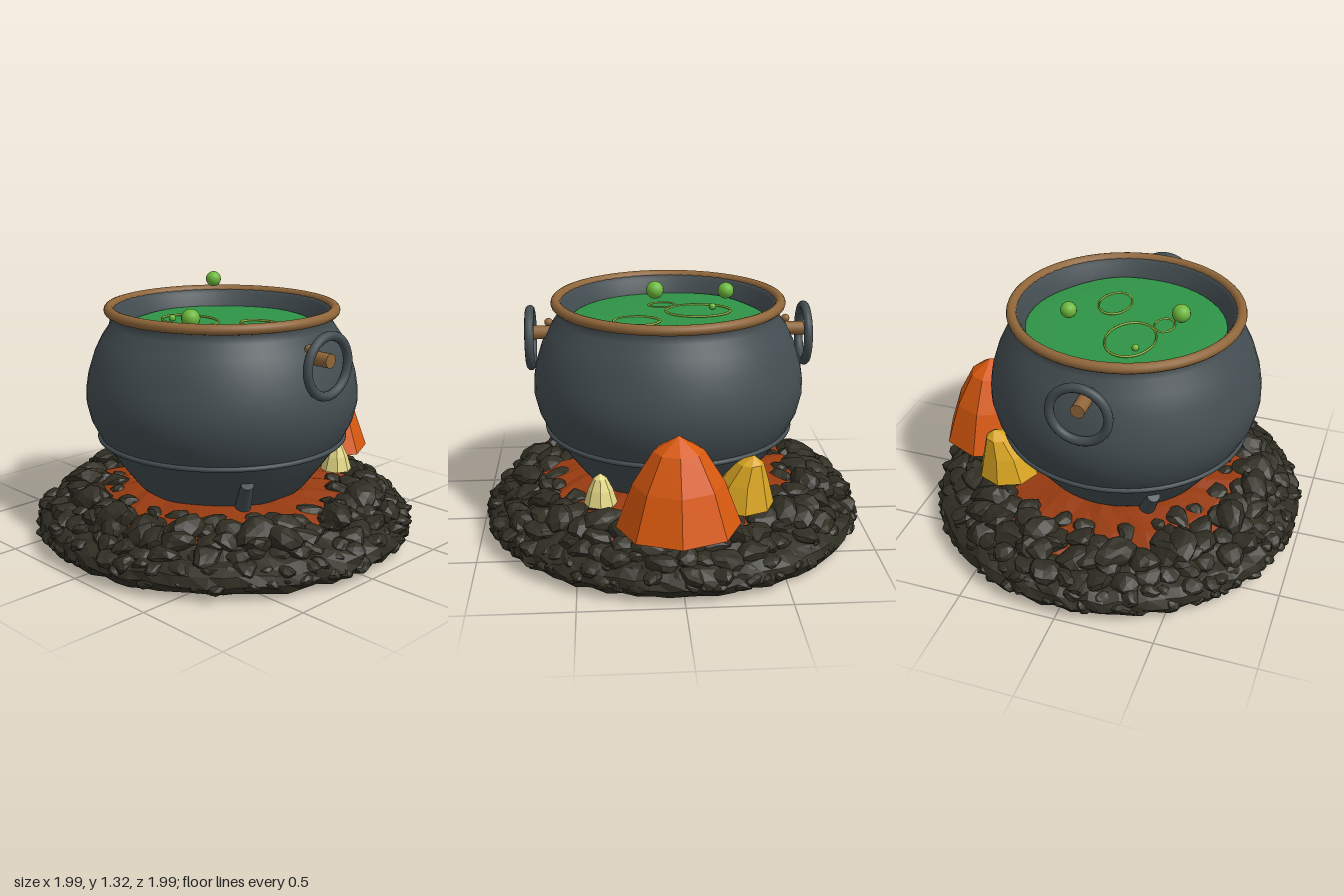
import * as THREE from 'three';
import { mergeGeometries } from 'three/addons/utils/BufferGeometryUtils.js';

const mat = (name, color, extra = {}) => {
  const m = new THREE.MeshStandardMaterial({ color, ...extra });
  m.name = name;
  return m;
};

// Small seeded random
function makeRandom(seed) {
  return () => {
    seed = (seed * 1664525 + 1013904223) % 4294967296;
    return seed / 4294967296;
  };
}

// Push vertices along a wavy field, so shared corners stay together
function roughen(geo, amp, freq, phase = 0) {
  const p = geo.attributes.position;
  for (let i = 0; i < p.count; i++) {
    const x = p.getX(i), y = p.getY(i), z = p.getZ(i);
    const f = freq;
    p.setXYZ(i,
      x + amp * Math.sin(f * y * 1.3 + f * z + phase),
      y + amp * Math.sin(f * x + f * 1.2 * z + phase * 2),
      z + amp * Math.sin(f * x * 1.1 - f * y + phase * 3));
  }
  geo.computeVertexNormals();
  return geo;
}

const lathe = (pts, segs) => new THREE.LatheGeometry(pts.map(([r, y]) => new THREE.Vector2(r, y)), segs);

export function createModel() {
  const root = new THREE.Group();
  root.name = 'cauldronOnCoals';

  const iron = mat('iron', 0x434d51);
  const copper = mat('copper', 0x8f663a);
  const rock = mat('charredRock', 0x2f2d22, { flatShading: true });
  const ember = mat('ember', 0x963a10, { flatShading: true });
  const brew = mat('brew', 0x2f9447);
  const bubbleMat = mat('bubble', 0x6cb83c);
  const foam = mat('foamRing', 0x8fae3a);
  const orange = mat('orangeFlame', 0xd9590f, { flatShading: true });
  const yellow = mat('yellowFlame', 0xd9a522, { flatShading: true });
  const pale = mat('paleFlame', 0xe2d684, { flatShading: true });

  const add = (parent, name, geo, material, x = 0, y = 0, z = 0) => {
    const m = new THREE.Mesh(geo, material);
    m.name = name;
    m.position.set(x, y, z);
    parent.add(m);
    return m;
  };

  // Rubble bed: a rounded slab with a raised inner tier
  const slab = lathe([[0, 0.01], [0.5, 0.01], [0.88, 0.012], [0.95, 0.03], [0.98, 0.075], [0.965, 0.12],
    [0.92, 0.15], [0.86, 0.165], [0.8, 0.2], [0.72, 0.19], [0.5, 0.16], [0, 0.16]], 80);
  add(root, 'rubbleBed', roughen(slab, 0.008, 31), rock);

  // Glowing mound under the pot
  add(root, 'emberMound', roughen(lathe([[0.8, 0.15], [0.74, 0.215], [0.62, 0.25], [0.48, 0.275], [0.3, 0.285], [0, 0.285]], 48),
    0.008, 27), ember);

  // Loose rocks in rings: radius, count, size, height
  const rand = makeRandom(11);
  const rocks = [];
  const bands = [
    [0.945, 74, 0.042, 0.075], [0.915, 60, 0.05, 0.125], [0.85, 52, 0.062, 0.165],
    [0.77, 42, 0.075, 0.205], [0.685, 32, 0.068, 0.23], [0.59, 22, 0.055, 0.24],
  ];
  bands.forEach(([r, n, size, y], band) => {
    for (let i = 0; i < n; i++) {
      const a = (i + band * 0.5 + (rand() - 0.5) * 0.7) / n * Math.PI * 2;
      const s = size * (0.75 + rand() * 0.5);
      const rr = Math.min(r + (rand() - 0.5) * 0.05, 0.985 - s * 0.9);
      const g = roughen(new THREE.IcosahedronGeometry(1, 1), 0.16, 2.3, rand() * 6);
      g.scale(s * (0.9 + rand() * 0.4), s * (0.6 + rand() * 0.25), s);
      g.rotateZ((rand() - 0.5) * 0.5);
      g.rotateY(rand() * 6.3);
      g.translate(Math.sin(a) * rr, y + (rand() - 0.5) * 0.02, Math.cos(a) * rr);
      rocks.push(g);
    }
  });
  // A few large tilted slabs on top
  for (let i = 0; i < 13; i++) {
    const a = (i + rand() * 0.4) / 13 * Math.PI * 2;
    const rr = 0.69 + rand() * 0.08;
    const g = roughen(new THREE.IcosahedronGeometry(1, 1), 0.15, 2.5, rand() * 6);
    g.scale(0.105, 0.045 + rand() * 0.02, 0.075);
    g.rotateZ(0.15 + rand() * 0.25);
    g.rotateY(a + rand());
    g.translate(Math.sin(a) * rr, 0.25, Math.cos(a) * rr);
    rocks.push(g);
  }
  const rockGeo = mergeGeometries(rocks);
  rockGeo.computeVertexNormals();
  add(root, 'looseRocks', rockGeo, rock);

  // Pot, slightly off the centre of the bed
  const pot = new THREE.Group();
  pot.name = 'pot';
  pot.position.set(0.016, 0, 0.033);
  root.add(pot);

  add(pot, 'potBody', lathe([[0, 0.26], [0.42, 0.26], [0.45, 0.29], [0.54, 0.41], [0.628, 0.535], [0.675, 0.63],
    [0.696, 0.72], [0.695, 0.79], [0.682, 0.87], [0.65, 0.97], [0.61, 1.05], [0.565, 1.115], [0.553, 1.15],
    [0.565, 1.185], [0.55, 1.195], [0.535, 1.17], [0.515, 1.12], [0.5, 1.08], [0.49, 1.03]], 56), iron);

  const hoop = (name, r, tube, y, material) => {
    const g = new THREE.TorusGeometry(r, tube, 12, 64);
    g.rotateX(Math.PI / 2);
    return add(pot, name, g, material, 0, y, 0);
  };
  hoop('copperRim', 0.571, 0.026, 1.185, copper);
  hoop('bellyBand', 0.632, 0.013, 0.533, iron);

  // Ring handles on copper pegs
  for (const s of [-1, 1]) {
    const side = s > 0 ? 'left' : 'right';
    const ring = new THREE.TorusGeometry(0.144, 0.023, 12, 40);
    ring.rotateY(Math.PI / 2);
    add(pot, side + 'HandleRing', ring, iron, s * 0.704, 0.998, 0);
    const peg = new THREE.CylinderGeometry(0.035, 0.035, 0.17, 16);
    peg.rotateZ(Math.PI / 2);
    add(pot, side + 'HandlePeg', peg, copper, s * 0.635, 1.025, 0);
    add(pot, side + 'HandleRivet', new THREE.SphereGeometry(0.022, 14, 10), copper, s * 0.612, 1.07, 0.03);
  }

  // Three stubby legs hugging the lower bowl
  for (const a of [0.98, -0.98, Math.PI]) {
    const top = new THREE.Vector3(Math.sin(a) * 0.57, 0.43, Math.cos(a) * 0.57 - 0.02);
    const foot = new THREE.Vector3(Math.sin(a) * 0.45, 0.255, Math.cos(a) * 0.45 - 0.02);
    const dir = top.clone().sub(foot);
    const leg = add(pot, 'leg', new THREE.CylinderGeometry(0.032, 0.042, dir.length(), 12), iron);
    leg.position.copy(foot).addScaledVector(dir, 0.5);
    leg.quaternion.setFromUnitVectors(new THREE.Vector3(0, 1, 0), dir.normalize());
  }

  // Brew surface with gentle waves
  const level = 1.1;
  const surface = lathe([[0.505, -0.01], [0.495, 0], [0.36, 0.004], [0.18, 0.004], [0, 0.004]], 48);
  add(pot, 'brewSurface', roughen(surface, 0.005, 7), brew, 0, level, 0);

  // Foam rings: x, z, half width, half depth
  for (const [x, z, rx, rz] of [[-0.145, 0.105, 0.168, 0.122], [0.18, -0.08, 0.117, 0.083], [0.037, 0.225, 0.07, 0.05]]) {
    const g = new THREE.TorusGeometry(1, 0.006 / rx, 8, 40);
    g.rotateX(Math.PI / 2);
    g.scale(rx, rx, rz);
    add(root, 'foamRing', g, foam, x, level + 0.008, z);
  }

  // Bubbles: x, y, z, radius
  for (const [x, y, z, r] of [[-0.255, 1.28, -0.17, 0.04], [0.07, 1.172, 0.3, 0.047], [-0.225, 1.115, 0.155, 0.018]]) {
    add(root, 'bubble', new THREE.SphereGeometry(r, 16, 12), bubbleMat, x, y, z);
  }

  // Faceted flames: a pointed dome whose tip can lean
  const flame = (name, material, x, z, r, h, lean = [0, 0], rx = 1) => {
    const g = lathe([[0, 0], [r, 0], [r * 0.73, h * 0.48], [r * 0.4, h * 0.84], [0, h]], 8);
    const p = g.attributes.position;
    for (let i = 0; i < p.count; i++) {
      const t = p.getY(i) / h;
      p.setX(i, p.getX(i) * rx + lean[0] * t * t);
      p.setZ(i, p.getZ(i) + lean[1] * t * t);
    }
    g.computeVertexNormals();
    add(root, name, g, material, x, 0.295, z);
  };
  flame('largeFlame', orange, 0.015, -0.735, 0.265, 0.45, [0, 0], 1.12);
  flame('mediumFlame', yellow, -0.31, -0.51, 0.16, 0.27, [-0.05, -0.05]);
  flame('smallFlame', pale, 0.38, -0.465, 0.083, 0.155);

  return root;
}
